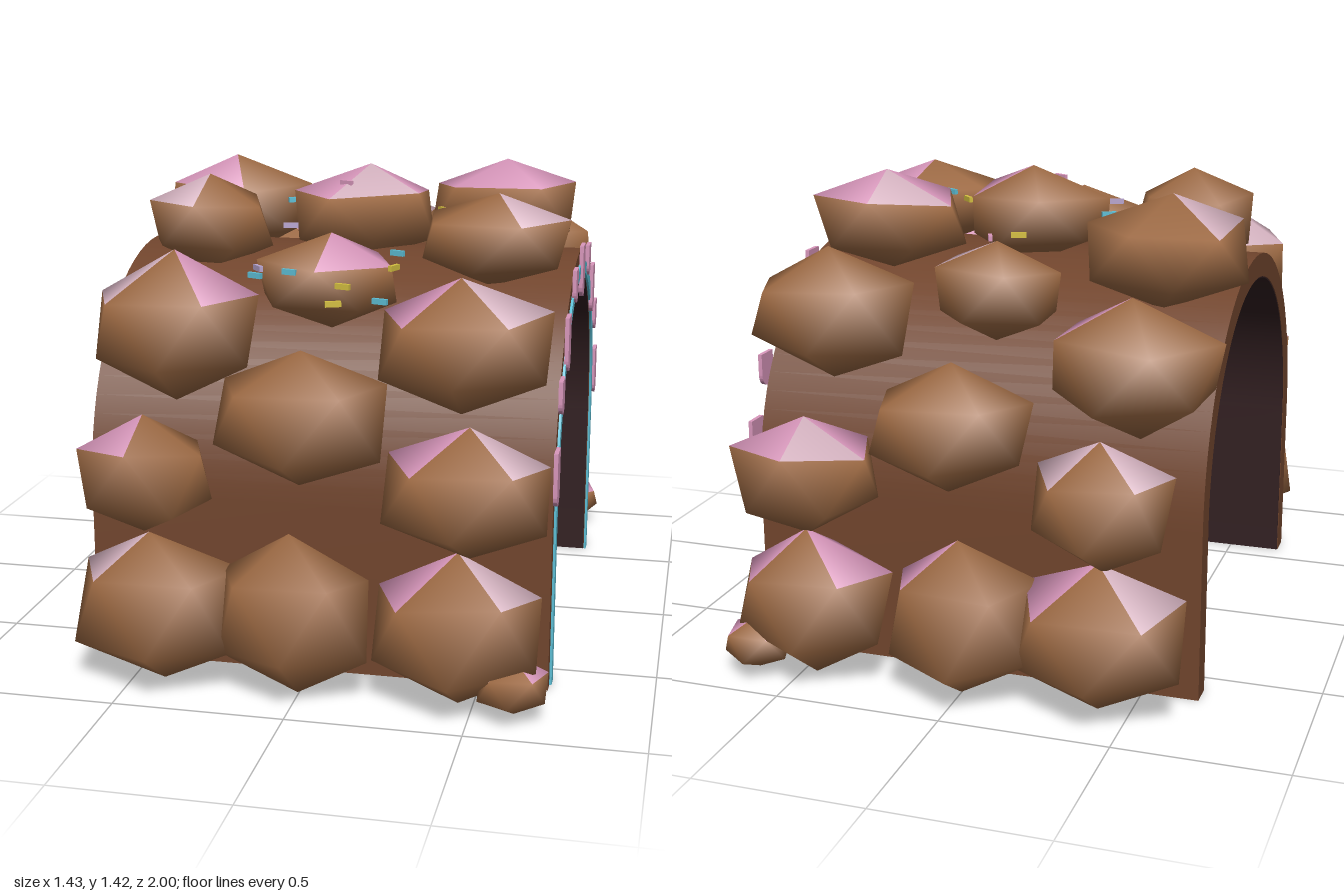
import * as THREE from 'three';
import { toCreasedNormals } from 'three/addons/utils/BufferGeometryUtils.js';

const paint = (name, color) => {
  const m = new THREE.MeshStandardMaterial({ color });
  m.name = name;
  return m;
};

const ARC_Y = 0.515, X0 = -0.667, X1 = 0.697;

// Upside-down U outline between two radii, drawn in (z, y)
function archShape(outer, inner) {
  const s = new THREE.Shape();
  s.moveTo(inner, 0);
  s.lineTo(outer, 0);
  s.absarc(0, ARC_Y, outer, 0, Math.PI, false);
  s.lineTo(-outer, 0);
  s.lineTo(-inner, 0);
  s.absarc(0, ARC_Y, inner, Math.PI, 0, true);
  return s;
}

// Extrude a (z, y) shape along x
function extrudeX(shape, x0, x1) {
  const g = new THREE.ExtrudeGeometry(shape, { depth: x1 - x0, bevelEnabled: false, curveSegments: 18 });
  g.rotateY(Math.PI / 2);
  g.translate(x0, 0, 0);
  return toCreasedNormals(g, 0.5);
}

let seed = 7;
const rand = () => {
  seed = (seed * 16807) % 2147483647;
  return seed / 2147483647 - 0.5;
};

// Smooth twenty-sided boulder; caps gives the colour of the five top faces (b, p, l)
function rockGeometry(hx, hy, hz, yawDeg, caps) {
  const v = [];
  const ring = (h, offset) => {
    for (let i = 0; i < 5; i++) {
      const a = THREE.MathUtils.degToRad(yawDeg + offset + 72 * i) + rand() * 0.12;
      const r = 1 + rand() * 0.08;
      v.push(Math.cos(a) * r * hx, (h + rand() * 0.16) * hy, Math.sin(a) * r * hz);
    }
  };
  v.push(rand() * 0.15 * hx, hy, rand() * 0.15 * hz);
  ring(0.45, 0);
  ring(-0.45, 36);
  v.push(rand() * 0.15 * hx, -hy, rand() * 0.15 * hz);
  const index = [];
  for (let i = 0; i < 5; i++) index.push(0, 1 + (i + 1) % 5, 1 + i);
  for (let i = 0; i < 5; i++) {
    const j = (i + 1) % 5;
    index.push(1 + i, 1 + j, 6 + i, 6 + i, 1 + j, 6 + j, 11, 6 + i, 6 + j);
  }
  const g = new THREE.BufferGeometry();
  g.setAttribute('position', new THREE.Float32BufferAttribute(v, 3));
  g.setIndex(index);
  g.computeVertexNormals();
  [...caps].forEach((c, f) => g.addGroup(f * 3, 3, 'bpl'.indexOf(c)));
  g.addGroup(15, 45, 0);
  return g;
}

export function createModel() {
  const model = new THREE.Group();
  model.name = 'rockTunnel';
  const stone = paint('rockBrown', 0xa06c45);
  const wall = paint('wallBrown', 0x71452d);
  const dark = paint('innerDark', 0x332022);
  const pink = paint('icingPink', 0xda98bd);
  const pale = paint('icingPale', 0xdab7c5);
  const blue = paint('trimBlue', 0x5dbfd6);
  const yellow = paint('sprinkleYellow', 0xd4bf40);
  const lavender = paint('sprinkleLavender', 0xb9a5d0);

  const add = (name, geometry, material, parent = model) => {
    const m = new THREE.Mesh(geometry, material);
    m.name = name;
    parent.add(m);
    return m;
  };
  const addGroup = (name) => {
    const g = new THREE.Group();
    g.name = name;
    model.add(g);
    return g;
  };

  // Tunnel shell, dark lining and end trim
  add('tunnelWall', extrudeX(archShape(0.655, 0.582), X0, X1), wall);
  add('tunnelLining', extrudeX(archShape(0.5825, 0.578), X0 + 0.002, X1 - 0.002), dark);
  add('archTrim', extrudeX(archShape(0.617, 0.579), X1, X1 + 0.007), blue);

  // Icing drips round the trimmed end, alternately long and short
  const drips = addGroup('icingDrips');
  const drip = (z, top, len) => {
    const w = 0.036, s = new THREE.Shape();
    s.moveTo(w, top);
    s.lineTo(-w, top);
    s.lineTo(-w, top - len + w);
    s.absarc(0, top - len + w, w, Math.PI, Math.PI * 2, false);
    add('icingDrip', extrudeX(s, X1 + 0.002, X1 + 0.014), pink, drips).position.z = z;
  };
  drip(0, 1.19, 0.16);
  for (const [z, top, len] of [[0.23, 1.155, 0.1], [0.43, 1.055, 0.16], [0.577, 0.905, 0.1], [0.657, 0.72, 0.16]]) {
    drip(z, top, len);
    drip(-z, top, len);
  }

  const rocks = addGroup('rocks');
  const rock = (x, y, z, hx, hy, hz, yaw, caps) =>
    add('rock', rockGeometry(hx, hy, hz, yaw, caps), [stone, pink, pale], rocks).position.set(x, y, z);

  // Bottom rows: the same boulders along the front and back walls
  for (const [side, yaw, caps] of [
    [1, 54, ['blppb', 'bbppb', 'bpppl', 'bllpp']],
    [-1, 234, ['bpppl', 'bpppb', 'bpppp', 'bpppp']],
  ]) {
    rock(-0.415, 0.235, side * 0.82, 0.245, 0.225, 0.175, yaw, caps[0]);
    rock(-0.015, 0.24, side * 0.82, 0.225, 0.237, 0.175, yaw, caps[1]);
    rock(0.45, 0.235, side * 0.82, 0.243, 0.225, 0.175, yaw, caps[2]);
    rock(0.62, 0.1, side * 0.86, 0.1, 0.085, 0.1, yaw, caps[3]);
  }

  // Boulders laid round the arch from front (0 degrees) to back (180):
  // each has its angle, yaw, top face colours and optional lift off the arch
  const arc = (x, hx, hy, degrees, yaw, caps, lift = 0) => {
    const a = THREE.MathUtils.degToRad(degrees);
    const steep = Math.cos(a) ** 2;
    const r = 0.755 + 0.075 * steep + lift;
    const hz = hx * (0.9 - 0.13 * steep);
    rock(x, ARC_Y + r * Math.sin(a), r * Math.cos(a), hx, hy, hz, yaw, caps);
  };
  // right column
  arc(-0.45, 0.195, 0.175, 8, 18, 'bpppb');
  arc(-0.41, 0.24, 0.22, 39, 54, 'bllpp');
  arc(-0.43, 0.19, 0.15, 76, 18, 'blbbb');
  arc(-0.465, 0.24, 0.17, 114, 72, 'plbbb', 0.02);
  arc(-0.47, 0.25, 0.2, 145, -36, 'pbbbb');
  arc(-0.42, 0.2, 0.185, 172.6, -126, 'blppl');
  // middle column
  arc(0, 0.25, 0.195, 20.6, 54, 'bblbb');
  arc(0.01, 0.21, 0.14, 53, -54, 'ppbbb');
  arc(0.02, 0.225, 0.15, 91.5, -36, 'plpbb');
  arc(-0.01, 0.19, 0.15, 129, -36, 'lpbbb');
  arc(0.03, 0.235, 0.19, 160.6, -54, 'bbbbb', 0.015);
  // left column
  arc(0.47, 0.235, 0.185, 8, 54, 'bpppl');
  arc(0.44, 0.245, 0.195, 37, 54, 'bpppl');
  arc(0.47, 0.22, 0.14, 71, -80, 'plbbb');
  arc(0.43, 0.23, 0.15, 107.6, -90, 'ppppl', 0.03);
  arc(0.45, 0.24, 0.195, 139.5, 90, 'pbbbb', 0.05);
  arc(0.47, 0.22, 0.18, 172.6, -90, 'pbbpl');

  // Scattered sprinkles
  const sprinkles = addGroup('sprinkles');
  const stick = new THREE.BoxGeometry(0.045, 0.016, 0.012);
  const sprinkle = (mat, x, y, z, yaw) => {
    const m = add('sprinkle', stick, mat, sprinkles);
    m.position.set(x, y, z);
    m.rotation.y = yaw;
  };
  sprinkle(blue, -0.225, 1.29, -0.085, 0.5);
  sprinkle(blue, -0.07, 1.185, 0.61, -0.3);
  sprinkle(blue, -0.18, 1.165, 0.577, -0.4);
  sprinkle(blue, 0.203, 1.215, 0.41, -0.4);
  sprinkle(blue, 0.36, 1.3, 0.105, -0.5);
  sprinkle(blue, 0.2, 1.12, 0.655, -0.3);
  sprinkle(lavender, -0.148, 1.265, 0.28, 0.2);
  sprinkle(lavender, -0.18, 1.18, 0.54, -0.9);
  sprinkle(yellow, 0.1, 1.163, 0.68, -0.3);
  sprinkle(yellow, 0.088, 1.127, 0.75, 0.4);
  sprinkle(yellow, 0.212, 1.19, 0.51, 1.2);
  sprinkle(yellow, 0.278, 1.29, 0.04, -0.8);
  sprinkle(yellow, -0.035, 1.27, -0.38, 0.3);
  sprinkle(pink, 0.083, 1.24, -0.3, -1.2);
  sprinkle(pink, -0.02, 1.37, 0.08, -0.5);
  sprinkle(pink, 0.29, 1.27, 0.175, 1.2);
  return model;
}
